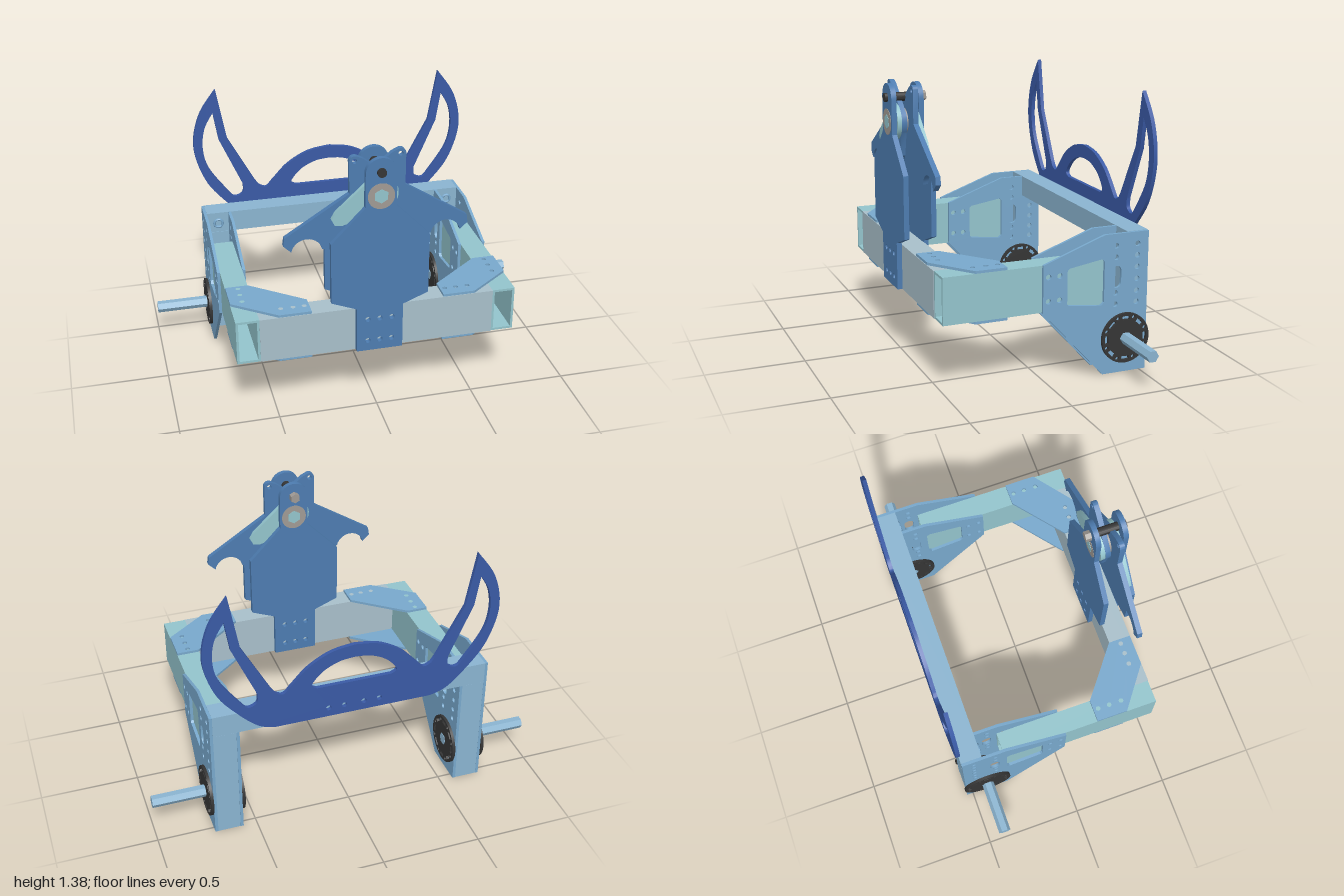
import * as THREE from 'three';
import { toCreasedNormals } from 'three/addons/utils/BufferGeometryUtils.js';

const TUBE = 0x93c4cc, BAR = 0xa8bfca, RAIL = 0x8ab4d0, SIDE = 0x78a8cc;
const CLAW = 0x4d7cb0, HORN = 0x3a5aa5, BLACK = 0x353535, STEEL = 0xa09a94;

const V = (x, y) => new THREE.Vector2(x, y);
const pts = (list, s = 1) => list.map(([x, y]) => V(x * s, y));
const spline = (list) => new THREE.SplineCurve(pts(list)).getPoints(list.length * 5).map((p) => [p.x, p.y]);
const mirror = (list) => [...list, ...list.map(([x, y]) => [-x, y]).reverse()];
const arc = (cx, cy, r, a0, a1, n = 20) => Array.from({ length: n + 1 }, (_, i) => {
  const a = a0 + (a1 - a0) * i / n;
  return [cx + r * Math.cos(a), cy + r * Math.sin(a)];
});
const circle = (x, y, r, n = 16) => arc(x, y, r, 0, Math.PI * 2 * (n - 1) / n, n - 1);
const rect = (w, h) => [[-w / 2, -h / 2], [w / 2, -h / 2], [w / 2, h / 2], [-w / 2, h / 2]];

function add(parent, name, geometry, color) {
  const mesh = new THREE.Mesh(geometry, new THREE.MeshStandardMaterial({ color }));
  mesh.name = name;
  parent.add(mesh);
  return mesh;
}

// Flat sheet with holes, extruded from z = 0 to z = depth
function sheet(outline, holes, depth, s = 1) {
  const shape = new THREE.Shape(pts(outline, s));
  for (const h of holes) shape.holes.push(new THREE.Path(pts(h, s)));
  return toCreasedNormals(new THREE.ExtrudeGeometry(shape, { depth, bevelEnabled: false }), 0.5);
}

// Hollow rectangular tube along z, centred on the origin
const tube = (w, h, len, t = 0.012) =>
  sheet(rect(w, h), [rect(w - 2 * t, h - 2 * t)], len).translate(0, 0, -len / 2);

// Round or hexagonal rod along x
const rodX = (r, x0, x1, y, z, n = 32) => toCreasedNormals(
  new THREE.CylinderGeometry(r, r, Math.abs(x1 - x0), n).rotateZ(Math.PI / 2), 0.5).translate((x0 + x1) / 2, y, z);
const rodZ = (r, z0, z1, x, y, n = 32) => toCreasedNormals(
  new THREE.CylinderGeometry(r, r, Math.abs(z1 - z0), n).rotateX(Math.PI / 2), 0.5).translate(x, y, (z0 + z1) / 2);

function buildSide(s) {
  const g = new THREE.Group();
  g.name = s > 0 ? 'leftSide' : 'rightSide';

  // Arm and leg tubes
  add(g, 'armTube', tube(0.115, 0.232, 0.825).translate(s * 0.6425, 0.47, 0.1025), TUBE);
  add(g, 'legTube', tube(0.115, 0.592, 0.105).rotateX(0).translate(0, 0, 0), RAIL).geometry =
    tube(0.115, 0.105, 0.592).rotateX(Math.PI / 2).translate(s * 0.6425, 0.296, -0.4795);

  // Side plates, drawn in z and y
  const outline = [[0.02, 0.353], [0.02, 0.59], [-0.3, 0.705], [-0.533, 0.705], [-0.533, 0], [-0.3, 0]];
  const holes = [
    [[-0.105, 0.385], [-0.115, 0.375], [-0.285, 0.355], [-0.3, 0.37], [-0.3, 0.575], [-0.285, 0.587], [-0.115, 0.56], [-0.105, 0.55]],
    [...arc(-0.365, 0.52, 0.025, 0, Math.PI, 8), ...arc(-0.365, 0.46, 0.025, Math.PI, 2 * Math.PI, 8)],
  ];
  for (const y of [0.645, 0.588, 0.53, 0.47, 0.41, 0.353]) {
    holes.push(circle(-0.475, y, 0.014));
    if (y > 0.56 || y < 0.43) holes.push(circle(-0.36, y, 0.014));
  }
  for (const z of [-0.007, -0.065]) for (const y of [0.41, 0.53]) holes.push(circle(z, y, 0.014));
  holes.push(circle(-0.415, 0.178, 0.045));
  for (const x of [0.577, 0.7075]) {
    add(g, 'sidePlate', sheet(outline, holes, 0.015).rotateY(-Math.PI / 2).translate(s * x + 0.0075, 0, 0), SIDE);
  }

  // Slotted bearing discs with hubs
  const discHoles = [];
  for (let i = 0; i < 8; i++) {
    const a = (i + 0.5) * Math.PI / 4;
    discHoles.push(circle(0.11 * Math.cos(a), 0.11 * Math.sin(a), 0.01, 10));
    discHoles.push([...arc(0, 0, 0.112, a + 0.2, a + 0.6, 6), ...arc(0, 0, 0.094, a + 0.6, a + 0.2, 6)]);
  }
  for (const [x, hub0, hub1] of [[0.7225, 0.672, 0.716], [0.5625, 0.57, 0.613]]) {
    add(g, 'bearingDisc', sheet(circle(0, 0, 0.127, 48), discHoles, 0.015).rotateY(-Math.PI / 2)
      .translate(s * x + 0.0075, 0.178, -0.415), BLACK);
    add(g, 'bearingHub', rodX(0.044, s * hub0, s * hub1, 0.178, -0.415), BLACK);
  }
  add(g, 'axle', rodX(0.031, s * 0.67, s * 1, 0.178, -0.415, 6), RAIL);
  add(g, 'innerAxleEnd', rodX(0.031, s * 0.552, s * 0.614, 0.178, -0.415, 6), RAIL);

  // Corner gussets above and below, drawn in x and z
  const gusset = [[0.587, 0.195], [0.7, 0.195], [0.7, 0.355], [0.49, 0.515], [0.33, 0.515], [0.33, 0.4]];
  const rivets = [0.22, 0.28, 0.345].map((z) => circle(0.64, z, 0.012))
    .concat([0.355, 0.41, 0.47].map((x) => circle(x, 0.455, 0.012)));
  for (const y of [0.599, 0.354]) {
    add(g, 'cornerGusset', sheet(gusset, rivets, 0.013, s).rotateX(Math.PI / 2).translate(0, y, 0), SIDE);
  }

  // Rail fastener
  add(g, 'railBolt', toCreasedNormals(new THREE.TorusGeometry(0.022, 0.007, 8, 24), 1)
    .translate(s * 0.64, 0.645, -0.424), SIDE);
  return g;
}

function buildHorns() {
  const half = [
    ...spline([[0.4, 0.597], [0.48, 0.625], [0.575, 0.712], [0.68, 0.85], [0.735, 1.04], [0.7, 1.22], [0.605, 1.362]]),
    [0.555, 1.085], [0.415, 0.825],
    ...spline([[0.395, 0.795], [0.355, 0.78], [0.31, 0.825], [0.23, 0.905], [0.12, 0.965], [0.004, 0.985]]),
  ];
  const eye = [
    ...spline([[0.625, 1.235], [0.672, 1.15], [0.687, 1.04], [0.66, 0.92], [0.57, 0.785], [0.53, 0.742], [0.485, 0.76], [0.482, 0.81]]),
    [0.6, 1.08],
  ];
  const arch = mirror(spline([[0.19, 0.775], [0.215, 0.8], [0.16, 0.865], [0.08, 0.905], [0.004, 0.915]]));
  const holes = [eye, eye.map(([x, y]) => [-x, y]), arch];
  for (const x of [-0.13, -0.05, 0.05, 0.13]) holes.push(circle(x, 0.645, 0.014));
  return sheet(mirror(half), holes, 0.02).translate(0, 0, -0.555);
}

function buildClaw() {
  const g = new THREE.Group();
  g.name = 'clawAssembly';
  const PY = 1.185;

  // Front and rear carrier plates
  const half = [[0.115, 0.355], [0.115, 0.595], [0.24, 0.645], [0.24, 0.96], [0.075, 1.13], ...arc(0, 1.3, 0.075, 0, Math.PI / 2 - 0.05, 10)];
  const holes = [circle(0, PY, 0.064, 32)];
  for (const x of [-0.06, 0, 0.06]) for (const y of [0.41, 0.53]) holes.push(circle(x, y, 0.014));
  for (const z of [0.379, 0.518]) add(g, 'carrierPlate', sheet(mirror(half), holes, 0.026).translate(0, 0, z), CLAW);

  // Two opposed hooks, one behind the other
  const hook = [
    [0.14, 1.19], [0.45, 0.995], [0.456, 0.955], [0.42, 0.92],
    ...arc(0.345, 0.905, 0.075, 0.2, Math.PI - 0.2, 14),
    [0.25, 0.916], [0.04, 0.916], [-0.05, 1.02],
    ...arc(0, PY, 0.09, Math.PI + 0.6, Math.PI - 0.5, 8),
    [0, 1.3], [0.075, 1.36], ...arc(0.115, 1.35, 0.026, 2, 0, 8),
  ];
  const hookHoles = [circle(0.115, 1.35, 0.012), circle(0, PY, 0.05, 24)];
  add(g, 'hook', sheet(hook, hookHoles, 0.026, -1).translate(0, 0, 0.47), CLAW);
  add(g, 'hook', sheet(hook, hookHoles, 0.026).translate(0, 0, 0.43), CLAW);

  // Spacer levers between hooks and carriers
  const lever = [...arc(0, PY, 0.09, -1.1, 2.05, 16), [-0.21, 1.11], [-0.23, 1.075], [-0.215, 1.045], [-0.18, 1.04]];
  add(g, 'lever', sheet(lever, [], 0.022).translate(0, 0, 0.496), TUBE);
  add(g, 'lever', sheet(lever, [], 0.024, -1).translate(0, 0, 0.405), TUBE);

  // Pivot bearing, hex shaft and stop pin
  add(g, 'pivotBearing', rodZ(0.065, 0.378, 0.546, 0, PY), STEEL);
  add(g, 'pivotShaft', rodZ(0.036, 0.376, 0.548, 0, PY, 6), TUBE);
  add(g, 'stopPin', rodZ(0.022, 0.365, 0.558, 0, 1.305), BLACK);
  add(g, 'stopPinNut', rodZ(0.026, 0.348, 0.378, 0, 1.305, 6), STEEL);
  return g;
}

export function createModel() {
  const model = new THREE.Group();
  model.name = 'frame';

  // Cross members
  add(model, 'frontCrossTube', tube(0.115, 0.232, 1.17).rotateY(Math.PI / 2).translate(0, 0.47, 0.4605), BAR);
  add(model, 'rearRail', tube(0.108, 0.112, 1.4).rotateY(Math.PI / 2).translate(0, 0.65, -0.48), RAIL);

  for (const s of [1, -1]) model.add(buildSide(s));
  add(model, 'hornPlate', buildHorns(), HORN);
  model.add(buildClaw());
  return model;
}
